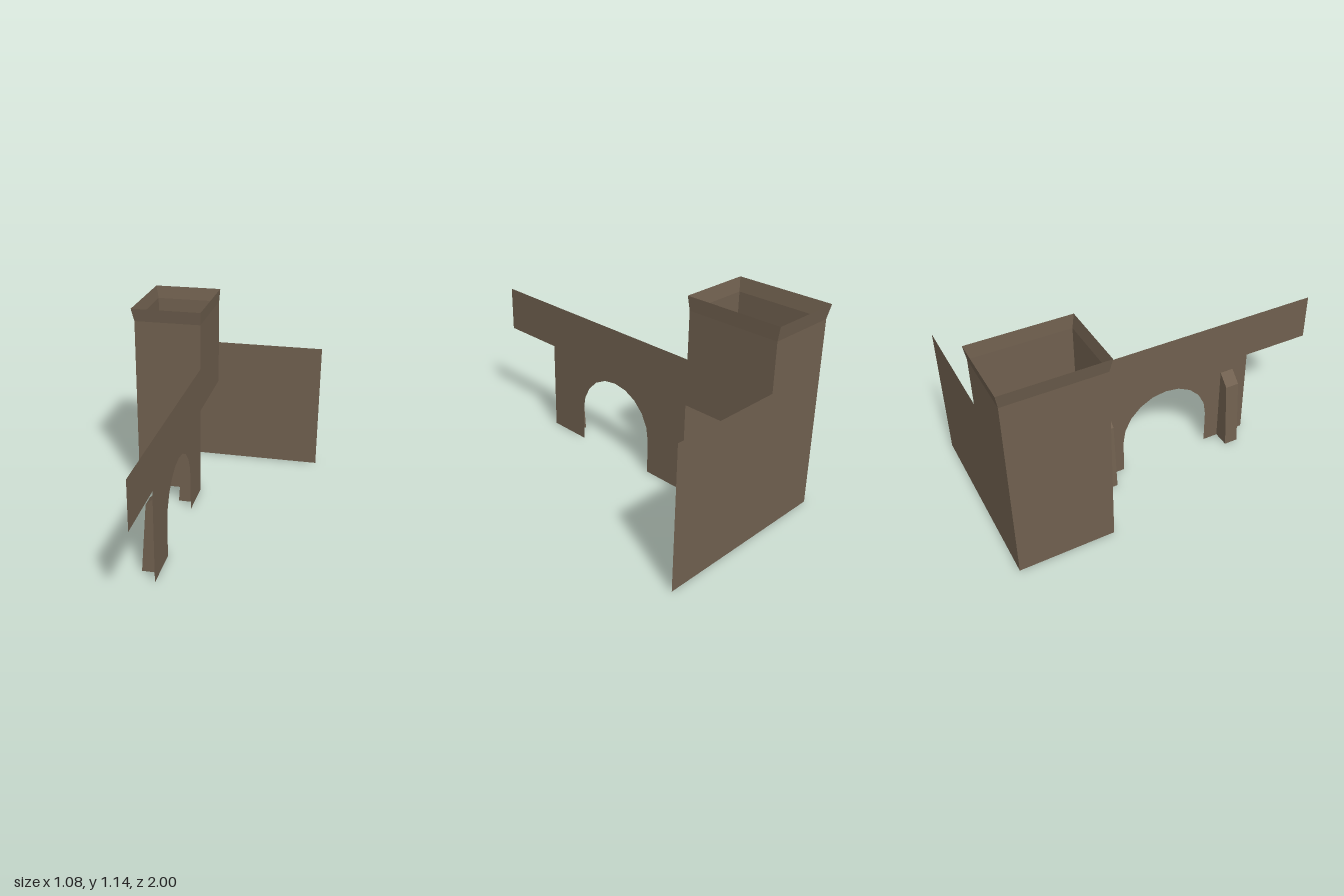
import * as THREE from 'three';

export function createModel() {
  const model = new THREE.Group();
  const stone = new THREE.MeshStandardMaterial({ color: 0x70604f, side: THREE.DoubleSide, flatShading: true });
  stone.name = 'brown stone';

  const add = (name, geometry) => {
    const mesh = new THREE.Mesh(geometry, stone);
    mesh.name = name;
    model.add(mesh);
    return mesh;
  };
  const flat = (points) => new THREE.ShapeGeometry(new THREE.Shape(points.map(([a, b]) => new THREE.Vector2(a, b))));
  // Flat panel facing +x, outlined by [z, y] corners
  const sidePanel = (points) => flat(points.map(([z, y]) => [-z, y])).rotateY(Math.PI / 2);

  // Main levels and planes
  const left = -0.127, right = -0.523, front = -0.455, back = -0.987;
  const wallTop = 0.795, towerTop = 1.063, rimTop = 1.14, lintel = 0.531;

  // Arched wall, continuing into the upper inner side of the tower
  const outline = [
    [1, lintel], [1, wallTop], [front, wallTop], [front, towerTop],
    [back, towerTop], [back, lintel], [front, lintel], [front, 0], [-0.19, 0],
  ];
  for (let i = 0; i <= 10; i++) {
    const a = (i / 10) * Math.PI;
    outline.push([0.076 - 0.266 * Math.cos(a), 0.201 + 0.266 * Math.sin(a)]);
  }
  outline.push([0.342, 0], [0.604, 0], [0.604, lintel]);
  add('archedWall', sidePanel(outline)).position.x = left;

  // Rear wall, stepped up behind the tower
  add('rearWall', flat([
    [right, 0], [0.536, 0], [0.536, wallTop], [left, wallTop], [left, towerTop], [right, towerTop],
  ])).position.z = back;

  // Remaining tower sides
  add('towerFront', flat([[right, 0], [left, 0], [left, towerTop], [right, towerTop]])).position.z = front;
  add('towerOuterSide', sidePanel([[front, 0], [back, 0], [back, towerTop], [front, towerTop]])).position.x = right;

  // Flared open rim joining two rectangular loops
  const lower = [[right, front], [left, front], [left, back], [right, back]];
  const upper = [[-0.539, -0.442], [-0.123, -0.442], [-0.123, -1], [-0.539, -1]];
  const rim = [];
  for (let i = 0; i < 4; i++) {
    const j = (i + 1) % 4;
    const a = [lower[i][0], towerTop, lower[i][1]], b = [lower[j][0], towerTop, lower[j][1]];
    const c = [upper[j][0], rimTop, upper[j][1]], d = [upper[i][0], rimTop, upper[i][1]];
    rim.push(...a, ...b, ...c, ...a, ...c, ...d);
  }
  const rimGeometry = new THREE.BufferGeometry();
  rimGeometry.setAttribute('position', new THREE.Float32BufferAttribute(rim, 3));
  rimGeometry.computeVertexNormals();
  add('towerRim', rimGeometry);

  // Hollow tapered buttresses: two cheeks plus sloping outer faces, open below
  const profile = [[-0.223, 0], [-0.192, 0.4], [left, 0.463]];
  for (const [name, z0, z1] of [['frontButtress', 0.433, 0.513], ['rearButtress', -0.379, -0.281]]) {
    for (const z of [z0, z1]) add(name + 'Cheek', flat([[left, 0], ...profile.slice().reverse()])).position.z = z;
    const faces = [];
    for (let i = 0; i < 2; i++) {
      const [p, q] = [profile[i], profile[i + 1]];
      faces.push(...p, z0, ...p, z1, ...q, z1, ...p, z0, ...q, z1, ...q, z0);
    }
    const geometry = new THREE.BufferGeometry();
    geometry.setAttribute('position', new THREE.Float32BufferAttribute(faces, 3));
    geometry.computeVertexNormals();
    add(name + 'Slope', geometry);
  }

  return model;
}
